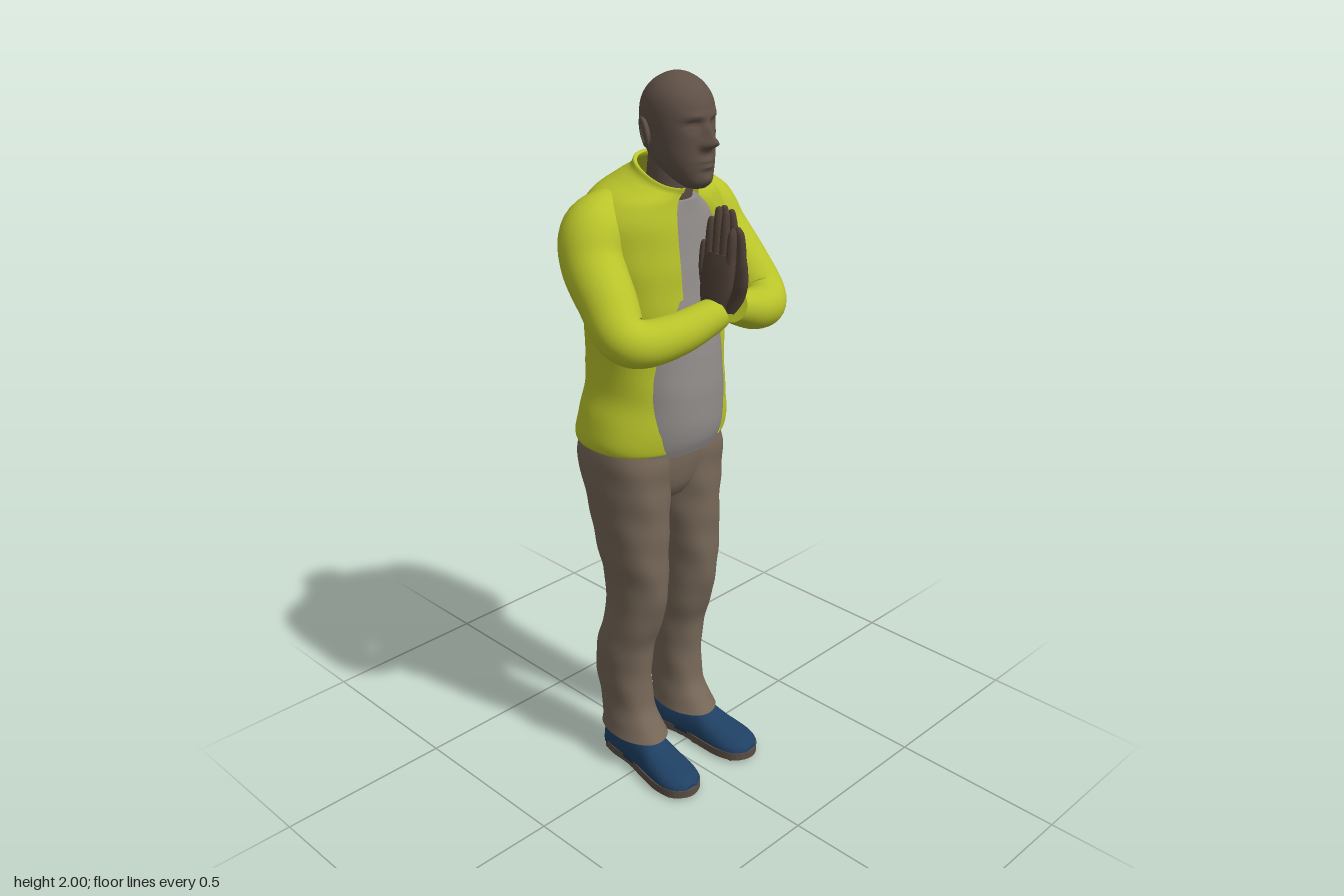
import * as THREE from 'three';

const mat = (name, color, side = THREE.FrontSide) => {
  const m = new THREE.MeshStandardMaterial({ color, side });
  m.name = name;
  return m;
};

// Catmull-Rom interpolation of rows of numbers
function smooth(rows, sub) {
  const out = [], last = rows.length - 1;
  for (let i = 0; i < last; i++) {
    const p = [rows[Math.max(i - 1, 0)], rows[i], rows[i + 1], rows[Math.min(i + 2, last)]];
    for (let s = 0; s < sub; s++) {
      const t = s / sub;
      out.push(rows[i].map((_, k) => {
        const [a, b, c, d] = p.map(r => r[k]);
        return b + 0.5 * t * (c - a + t * (2 * a - 5 * b + 4 * c - d + t * (3 * (b - c) + d - a)));
      }));
    }
  }
  out.push(rows[last]);
  return out;
}

// Surface through rings of points, with flat end caps on closed rings
function skin(rings, closed = true) {
  const pos = [], idx = [], n = rings[0].length, m = closed ? n : n - 1;
  rings.forEach(r => r.forEach(p => pos.push(...p)));
  for (let i = 0; i < rings.length - 1; i++) {
    for (let j = 0; j < m; j++) {
      const k = (j + 1) % n, a = i * n + j, b = i * n + k, c = b + n, d = a + n;
      idx.push(a, b, c, a, c, d);
    }
  }
  if (closed) [rings[0], rings[rings.length - 1]].forEach((r, e) => {
    const base = pos.length / 3;
    r.forEach(p => pos.push(...p));
    pos.push(...[0, 1, 2].map(k => r.reduce((s, p) => s + p[k], 0) / n));
    for (let j = 0; j < n; j++) {
      const k = (j + 1) % n;
      idx.push(base + n, base + (e ? j : k), base + (e ? k : j));
    }
  });
  const g = new THREE.BufferGeometry();
  g.setAttribute('position', new THREE.Float32BufferAttribute(pos, 3));
  g.setIndex(idx);
  g.computeVertexNormals();
  return g;
}

// Upright body from rows [y, xMin, xMax, zMin, zMax, tilt], lowest first
function loft(rows, { seg = 40, power = 0.9, fold = 0, from = 0, to = Math.PI * 2, closed = true } = {}) {
  const bend = v => Math.sign(v) * Math.abs(v) ** power;
  const rings = smooth(rows.map(r => [...r, 0].slice(0, 6)), 6).map(([y, x0, x1, z0, z1, tilt]) => {
    const ring = [];
    for (let j = 0; j < seg; j++) {
      const a = from + (to - from) * j / (closed ? seg : seg - 1);
      const k = 1 + fold * Math.sin(3 * a + y * 42) * Math.cos(2 * a - y * 17);
      const u = bend(Math.sin(a)) * k, v = bend(Math.cos(a)) * k;
      ring.push([(x0 + x1) / 2 + u * (x1 - x0) / 2, y + tilt * v, (z0 + z1) / 2 + v * (z1 - z0) / 2]);
    }
    return ring;
  });
  return skin(rings, closed);
}

// Tube of changing radius through rows [x, y, z, radius]
function limb(rows, seg = 24, sub = 7) {
  const pts = smooth(rows, sub), N = new THREE.Vector3(0.31, 0.2, 0.93), V = r => new THREE.Vector3(r[0], r[1], r[2]);
  return skin(pts.map((p, i) => {
    const T = V(pts[Math.min(i + 1, pts.length - 1)]).sub(V(pts[Math.max(i - 1, 0)])).normalize();
    N.addScaledVector(T, -N.dot(T)).normalize();
    const B = T.clone().cross(N);
    return Array.from({ length: seg }, (_, j) => {
      const a = j / seg * Math.PI * 2;
      return V(p).addScaledVector(N, Math.cos(a) * p[3]).addScaledVector(B, Math.sin(a) * p[3]).toArray();
    });
  }));
}

// Soft bumps [x, y, amount, width, height] pushed along z on the face
const FACE = [
  [0, 1.842, 0.034, 0.014, 0.014], [0, 1.866, 0.018, 0.011, 0.02], [0.015, 1.837, 0.013, 0.009, 0.009],
  [0.03, 1.903, 0.007, 0.025, 0.009], [0.034, 1.883, -0.013, 0.018, 0.012], [0.034, 1.88, 0.008, 0.012, 0.007],
  [0, 1.798, 0.008, 0.024, 0.006], [0, 1.783, 0.008, 0.02, 0.006], [0, 1.752, 0.005, 0.02, 0.012],
];
function shapeFace(g) {
  const p = g.attributes.position;
  for (let i = 0; i < p.count; i++) {
    const x = p.getX(i), y = p.getY(i), z = p.getZ(i);
    if (z < 0.03) continue;
    let d = 0;
    for (const [bx, by, amt, w, h] of FACE) for (const s of bx ? [-1, 1] : [1])
      d += amt * Math.exp(-(((x - s * bx) / w) ** 2) - ((y - by) / h) ** 2);
    p.setZ(i, z + d);
  }
  g.computeVertexNormals();
  return g;
}

export function createModel() {
  const skinMat = mat('skin', 0x5f5046), handMat = mat('hand skin', 0x4e3f36);
  const jacketMat = mat('lime jacket', 0xbac52a, THREE.DoubleSide), shirtMat = mat('grey shirt', 0x928d8b);
  const pantsMat = mat('taupe trousers', 0x766758), shoeMat = mat('navy shoe', 0x1f4063), soleMat = mat('brown sole', 0x5c4f45);
  const model = new THREE.Group();
  const add = (name, geo, m, parent = model) => {
    const mesh = new THREE.Mesh(geo, m);
    mesh.name = name;
    parent.add(mesh);
    return mesh;
  };

  // Head and neck
  add('head', shapeFace(loft([
    [1.728, -0.025, 0.025, 0.06, 0.112], [1.742, -0.042, 0.042, 0.03, 0.126], [1.77, -0.06, 0.06, -0.02, 0.128],
    [1.8, -0.072, 0.072, -0.05, 0.127], [1.84, -0.079, 0.079, -0.068, 0.125], [1.88, -0.084, 0.084, -0.076, 0.123],
    [1.92, -0.083, 0.083, -0.074, 0.12], [1.95, -0.075, 0.075, -0.062, 0.108], [1.975, -0.058, 0.058, -0.04, 0.085],
    [1.991, -0.036, 0.036, -0.014, 0.058], [1.998, -0.016, 0.016, 0.006, 0.038], [2.0, -0.002, 0.002, 0.02, 0.024],
  ], { seg: 96, power: 0.96 })), skinMat);
  add('neck', limb([[0, 1.6, -0.03, 0.062], [0, 1.72, -0.004, 0.061], [0, 1.83, 0.01, 0.06]]), skinMat);
  for (const s of [-1, 1]) {
    const ear = new THREE.Group();
    ear.name = s > 0 ? 'leftEar' : 'rightEar';
    const lobe = add('earBody', new THREE.SphereGeometry(1, 16, 12), skinMat, ear);
    lobe.scale.set(0.008, 0.034, 0.018);
    const rim = add('earRim', new THREE.TorusGeometry(0.017, 0.0045, 8, 24), skinMat, ear);
    rim.rotation.y = Math.PI / 2;
    rim.scale.y = 1.8;
    rim.position.x = s * 0.005;
    ear.position.set(s * 0.087, 1.862, 0.002);
    ear.rotation.set(-0.12, s * 0.4, -s * 0.1);
    model.add(ear);
  }

  // Shirt seen through the open jacket
  add('shirt', loft([
    [1.02, -0.165, 0.165, -0.2, 0.1], [1.06, -0.168, 0.168, -0.2, 0.115], [1.13, -0.166, 0.166, -0.2, 0.123],
    [1.22, -0.16, 0.16, -0.19, 0.122], [1.32, -0.16, 0.16, -0.19, 0.112], [1.44, -0.165, 0.165, -0.19, 0.097],
    [1.56, -0.165, 0.165, -0.19, 0.08], [1.64, -0.14, 0.14, -0.16, 0.07], [1.69, -0.075, 0.075, -0.09, 0.066],
  ], { fold: 0.006 }), shirtMat);

  // Jacket body with rolled hem and standing collar
  add('jacketBody', loft([
    [1.045, -0.19, 0.19, -0.212, 0.08], [1.03, -0.212, 0.212, -0.236, 0.094], [1.06, -0.221, 0.219, -0.243, 0.1],
    [1.12, -0.207, 0.21, -0.236, 0.102], [1.2, -0.189, 0.197, -0.225, 0.102], [1.3, -0.19, 0.196, -0.22, 0.1],
    [1.42, -0.195, 0.2, -0.224, 0.096], [1.53, -0.21, 0.21, -0.23, 0.09], [1.63, -0.213, 0.213, -0.22, 0.078],
    [1.695, -0.178, 0.178, -0.188, 0.07, -0.01], [1.728, -0.118, 0.118, -0.14, 0.068, -0.02],
    [1.743, -0.09, 0.09, -0.102, 0.07, -0.03], [1.758, -0.081, 0.081, -0.092, 0.072, -0.035],
    [1.754, -0.072, 0.072, -0.083, 0.062, -0.035],
  ], { seg: 72, power: 0.88, fold: 0.009, from: 0.47, to: Math.PI * 2 - 0.2, closed: false }), jacketMat);

  for (const s of [-1, 1]) {
    const side = s > 0 ? 'left' : 'right';
    const flip = rows => rows.map(([x, ...rest]) => [s * x, ...rest]);

    // Sleeve from shoulder through the bent elbow to the cuff
    add(side + 'Sleeve', limb(flip([
      [0.11, 1.655, -0.08, 0.07], [0.19, 1.618, -0.075, 0.086], [0.225, 1.55, -0.045, 0.081], [0.243, 1.47, 0.025, 0.074],
      [0.254, 1.405, 0.082, 0.066], [0.222, 1.384, 0.125, 0.06], [0.14, 1.398, 0.162, 0.054], [0.06, 1.425, 0.186, 0.046],
      [0.028, 1.438, 0.192, 0.042],
    ]), 28), jacketMat);

    // Praying hand
    const hand = new THREE.Group();
    hand.name = side + 'Hand';
    model.add(hand);
    const palm = [
      [1.42, 0.014, 0.05, 0.155, 0.205], [1.46, 0.012, 0.055, 0.145, 0.222], [1.5, 0.007, 0.051, 0.138, 0.236],
      [1.55, 0.003, 0.042, 0.138, 0.24], [1.585, 0.003, 0.032, 0.142, 0.236],
    ].map(([y, a, b, z0, z1]) => s > 0 ? [y, a, b, z0, z1] : [y, -b, -a, z0, z1]);
    add('palm', loft(palm, { seg: 24 }), handMat, hand);
    [[0.154, 1.668], [0.178, 1.696], [0.202, 1.69], [0.225, 1.65]].forEach(([z, tip], i) => add('finger' + (i + 1), limb(flip([
      [0.021, 1.55, z, 0.013], [0.018, 1.59, z, 0.0125], [0.014, (1.6 + tip) / 2, z - 0.001, 0.0115],
      [0.01, tip - 0.01, z - 0.003, 0.009], [0.009, tip - 0.002, z - 0.003, 0.005], [0.009, tip, z - 0.003, 0.001],
    ]), 12, 3), handMat, hand));
    add('thumb', limb(flip([
      [0.028, 1.48, 0.16, 0.016], [0.022, 1.53, 0.14, 0.014], [0.014, 1.575, 0.13, 0.011], [0.012, 1.6, 0.128, 0.007],
      [0.012, 1.606, 0.128, 0.001],
    ]), 12, 3), handMat, hand);

    // Trouser leg
    const leg = [
      [0.105, 0.034, 0.182, -0.163, 0.06], [0.14, 0.04, 0.175, -0.162, 0.035], [0.2, 0.045, 0.17, -0.168, 0.006],
      [0.3, 0.04, 0.179, -0.178, -0.004], [0.4, 0.033, 0.185, -0.165, 0.006], [0.5, 0.031, 0.178, -0.138, 0.04],
      [0.6, 0.033, 0.176, -0.14, 0.06], [0.7, 0.022, 0.182, -0.156, 0.063], [0.8, 0.01, 0.19, -0.176, 0.063],
      [0.9, 0.002, 0.2, -0.202, 0.063], [0.98, -0.002, 0.205, -0.222, 0.063], [1.05, 0, 0.195, -0.2, 0.05],
    ].map(([y, a, b, z0, z1]) => {
      const shift = y < 0.7 ? 0.01 : 0;
      return s > 0 ? [y, a, b, z0, z1] : [y, shift - b, shift - a, z0, z1];
    });
    add(side + 'TrouserLeg', loft(leg, { fold: 0.022 }), pantsMat);

    // Shoe: domed upper, outline sole and tread bars
    const shoe = new THREE.Group();
    shoe.name = side + 'Shoe';
    shoe.position.x = s > 0 ? 0.116 : -0.1;
    shoe.rotation.y = s * 0.1;
    model.add(shoe);
    const upper = smooth([
      [-0.157, 0.028, 0.055], [-0.145, 0.046, 0.085], [-0.1, 0.053, 0.096], [-0.03, 0.053, 0.098], [0.03, 0.056, 0.09],
      [0.08, 0.062, 0.068], [0.14, 0.064, 0.05], [0.18, 0.052, 0.038], [0.204, 0.024, 0.02],
    ], 5).map(([z, w, h]) => Array.from({ length: 25 }, (_, j) => {
      const a = j / 24 * Math.PI;
      return [w * Math.sign(Math.cos(a)) * Math.abs(Math.cos(a)) ** 0.8, 0.022 + h * Math.sin(a) ** 0.8, z];
    }));
    add('upper', skin(upper), shoeMat, shoe);
    const outline = new THREE.Shape([
      [0, -0.162], [0.04, -0.148], [0.055, -0.1], [0.052, -0.02], [0.064, 0.07], [0.067, 0.13], [0.05, 0.185], [0, 0.21],
    ].map(p => new THREE.Vector2(...p)).flatMap((p, i, all) => [p]).concat([
      [-0.05, 0.185], [-0.067, 0.13], [-0.064, 0.07], [-0.052, -0.02], [-0.055, -0.1], [-0.04, -0.148],
    ].map(p => new THREE.Vector2(...p))));
    const curve = new THREE.CatmullRomCurve3(outline.getPoints().slice(0, 14).map(p => new THREE.Vector3(p.x, p.y, 0)), true);
    const soleShape = new THREE.Shape(curve.getPoints(56).slice(0, 56).map(p => new THREE.Vector2(p.x, p.y)));
    const sole = new THREE.ExtrudeGeometry(soleShape, { depth: 0.024, bevelEnabled: false });
    sole.rotateX(Math.PI / 2).translate(0, 0.032, 0);
    add('sole', sole, soleMat, shoe);
    for (let i = 0; i < 10; i++) {
      const z = -0.13 + i * 0.032;
      add('tread' + (i + 1), new THREE.BoxGeometry(z < 0.02 ? 0.09 : 0.105, 0.01, 0.02).translate(0, 0.005, z), soleMat, shoe);
    }
  }

  // Hips joining the two legs
  add('trouserHips', loft([
    [0.86, -0.07, 0.07, -0.12, 0.02], [0.9, -0.13, 0.13, -0.165, 0.045], [0.96, -0.185, 0.185, -0.195, 0.058],
    [1.02, -0.2, 0.2, -0.2, 0.06], [1.08, -0.18, 0.18, -0.19, 0.06],
  ]), pantsMat);

  return model;
}
